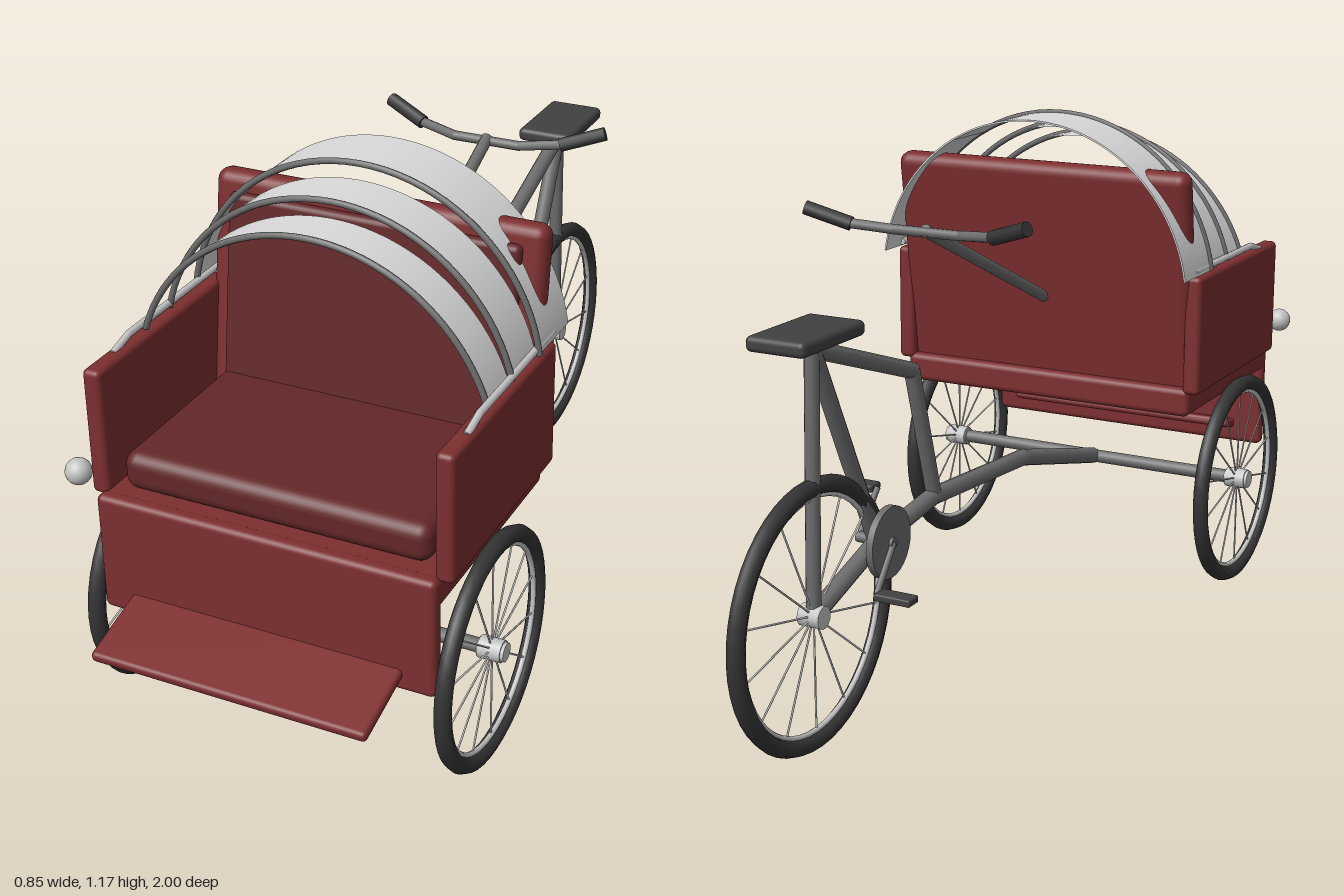
import * as THREE from 'three';
import { RoundedBoxGeometry } from 'three/addons/geometries/RoundedBoxGeometry.js';

const material = (name, color) => {
  const m = new THREE.MeshStandardMaterial({ color });
  m.name = name;
  return m;
};

export function createModel() {
  const model = new THREE.Group();
  model.name = 'cargoRickshaw';
  const red = material('red paint', 0x7c2e2f);
  const upholstery = material('dark red upholstery', 0x632728);
  const steel = material('grey steel', 0x6c6c6c);
  const chrome = material('light metal', 0xc4c4c4);
  const canvas = material('white canvas', 0xdadada);
  const rubber = material('black rubber', 0x343434);
  const leather = material('dark saddle', 0x414141);

  const V = (x, y, z) => new THREE.Vector3(x, y, z);
  const add = (name, geometry, mat, x = 0, y = 0, z = 0, parent = model) => {
    const mesh = new THREE.Mesh(geometry, mat);
    mesh.name = name;
    mesh.position.set(x, y, z);
    parent.add(mesh);
    return mesh;
  };
  const box = (name, w, h, d, r, mat, x, y, z) =>
    add(name, new RoundedBoxGeometry(w, h, d, 3, r), mat, x, y, z);
  // Straight round bar between two points
  const bar = (name, a, b, r, mat, sides = 10, parent = model) => {
    const mid = a.clone().add(b).multiplyScalar(0.5);
    const mesh = add(name, new THREE.CylinderGeometry(r, r, a.distanceTo(b), sides), mat, mid.x, mid.y, mid.z, parent);
    mesh.quaternion.setFromUnitVectors(V(0, 1, 0), b.clone().sub(a).normalize());
    return mesh;
  };
  // Bent tube made of bars with ball joints
  const bent = (name, points, r, mat) => {
    const group = new THREE.Group();
    group.name = name;
    model.add(group);
    points.forEach((p, i) => {
      if (i) bar(name + 'Section', points[i - 1], p, r, mat, 10, group);
      if (i && i < points.length - 1)
        add(name + 'Bend', new THREE.SphereGeometry(r, 10, 8), mat, p.x, p.y, p.z, group);
    });
  };

  // Wheels
  const wheel = (name, x, y, z, radius) => {
    const group = new THREE.Group();
    group.name = name;
    group.position.set(x, y, z);
    model.add(group);
    const ring = (part, r, tube, mat) =>
      add(part, new THREE.TorusGeometry(r, tube, 8, 48).rotateY(Math.PI / 2), mat, 0, 0, 0, group);
    ring('tyre', radius - 0.019, 0.019, rubber);
    ring('rim', radius - 0.039, 0.006, chrome);
    add('hub', new THREE.CylinderGeometry(0.024, 0.024, 0.05, 14).rotateZ(Math.PI / 2), chrome, 0, 0, 0, group);
    for (let i = 0; i < 14; i++) {
      const a = (i / 14) * Math.PI * 2;
      bar('spoke', V(0, 0, 0), V(0, Math.cos(a), Math.sin(a)).multiplyScalar(radius - 0.037), 0.0022, chrome, 5, group);
    }
  };
  wheel('frontLeftWheel', 0.393, 0.264, 0.603, 0.258);
  wheel('frontRightWheel', -0.393, 0.264, 0.603, 0.258);
  wheel('rearWheel', 0, 0.291, -0.713, 0.287);
  bar('frontAxle', V(-0.4, 0.264, 0.603), V(0.4, 0.264, 0.603), 0.016, steel);

  // Bicycle frame
  bent('mainTube', [V(0, 0.264, 0.603), V(0, 0.37, 0.2), V(0, 0.4, -0.23), V(0, 0.37, -0.47), V(0, 0.291, -0.713)], 0.02, steel);
  bent('upperTube', [V(0, 0.4, -0.225), V(0, 0.705, -0.315), V(0, 0.835, -0.69)], 0.018, steel);
  bar('seatTube', V(0, 0.37, -0.47), V(0, 0.835, -0.695), 0.018, steel);
  bar('rearStay', V(0, 0.291, -0.713), V(0, 0.86, -0.697), 0.016, steel);
  box('saddle', 0.135, 0.032, 0.225, 0.012, leather, 0, 0.868, -0.715);

  // Handlebar
  bar('handlebarStem', V(0, 0.735, 0.325), V(0, 0.995, -0.255), 0.014, steel);
  bent('handlebar', [V(-0.18, 1.0, -0.278), V(-0.08, 0.99, -0.25), V(0.08, 0.99, -0.25), V(0.18, 1.0, -0.278)], 0.011, steel);

  // Cranks and pedals
  add('chainring', new THREE.CylinderGeometry(0.078, 0.078, 0.016, 28).rotateZ(Math.PI / 2), steel, -0.03, 0.375, -0.47);
  bar('crankSpindle', V(-0.045, 0.375, -0.47), V(0.045, 0.375, -0.47), 0.012, steel);
  for (const s of [-1, 1]) {
    const y = 0.373 + s * 0.088, z = -0.467 + s * 0.073;
    bar('crankArm', V(s * 0.042, 0.375, -0.47), V(s * 0.042, y, z), 0.007, steel);
    box('pedal', 0.086, 0.016, 0.04, 0.004, leather, s * 0.088, y, z);
    bar('handGrip', V(s * 0.17, 0.998, -0.275), V(s * 0.266, 1.03, -0.305), 0.016, rubber);

    // Mirrored cabin sides
    bar('axleEnd', V(s * 0.365, 0.264, 0.603), V(s * 0.425, 0.264, 0.603), 0.021, chrome);
    box('sidePanel', 0.04, 0.28, 0.505, 0.012, red, s * 0.38, 0.686, 0.558);
    bent('canopyRail', [V(s * 0.385, 0.822, 0.72), V(s * 0.385, 0.838, 0.66), V(s * 0.385, 0.84, 0.3)], 0.008, chrome);
  }

  // Cabin
  box('cabinFloor', 0.75, 0.068, 0.53, 0.015, red, 0, 0.524, 0.572);
  box('frontPanel', 0.75, 0.268, 0.036, 0.014, red, 0, 0.426, 0.82);
  box('seatCushion', 0.68, 0.085, 0.44, 0.03, upholstery, 0, 0.598, 0.57);
  box('backrest', 0.75, 0.56, 0.06, 0.026, red, 0, 0.79, 0.327).rotation.x = -0.14;
  box('backCushion', 0.66, 0.46, 0.03, 0.014, upholstery, 0, 0.805, 0.362).rotation.x = -0.14;
  box('footboard', 0.61, 0.024, 0.25, 0.01, red, 0, 0.321, 0.876).rotation.x = 0.26;
  add('headlight', new THREE.SphereGeometry(0.028, 16, 12), chrome, -0.4, 0.616, 0.848);

  // Folding canopy: stepped strips, each edged with a hoop
  const canopy = [
    { back: 0.23, front: 0.385, top: 1.17, half: 0.393 },
    { back: 0.385, front: 0.505, top: 1.135, half: 0.385 },
    { back: 0.505, front: 0.61, top: 1.1, half: 0.377 },
  ];
  canopy.forEach(({ back, front, top, half }, i) => {
    const foot = 0.83, rise = top - foot;
    const r = (half * half + rise * rise) / (2 * rise);
    const cy = top - r;
    const a = Math.acos((foot - cy) / r);
    const depth = front - back;
    if (i === 0) {
      // Rear strip has a visible lining
      const shape = new THREE.Shape();
      shape.absarc(0, 0, r, Math.PI / 2 - a, Math.PI / 2 + a, false);
      shape.absarc(0, 0, r - 0.004, Math.PI / 2 + a, Math.PI / 2 - a, true);
      add('canopyRearStrip', new THREE.ExtrudeGeometry(shape, { depth, bevelEnabled: false, curveSegments: 40 }), canvas, 0, cy, back);
    } else {
      const strip = new THREE.CylinderGeometry(r, r, depth, 40, 1, true, Math.PI - a, 2 * a).rotateX(Math.PI / 2);
      add('canopyStrip', strip, canvas, 0, cy, (back + front) / 2);
    }
    const hoop = new THREE.TorusGeometry(r, 0.007, 8, 40, 2 * a).rotateZ(Math.PI / 2 - a);
    add('canopyHoop', hoop, steel, 0, cy, front);
  });
  return model;
}
